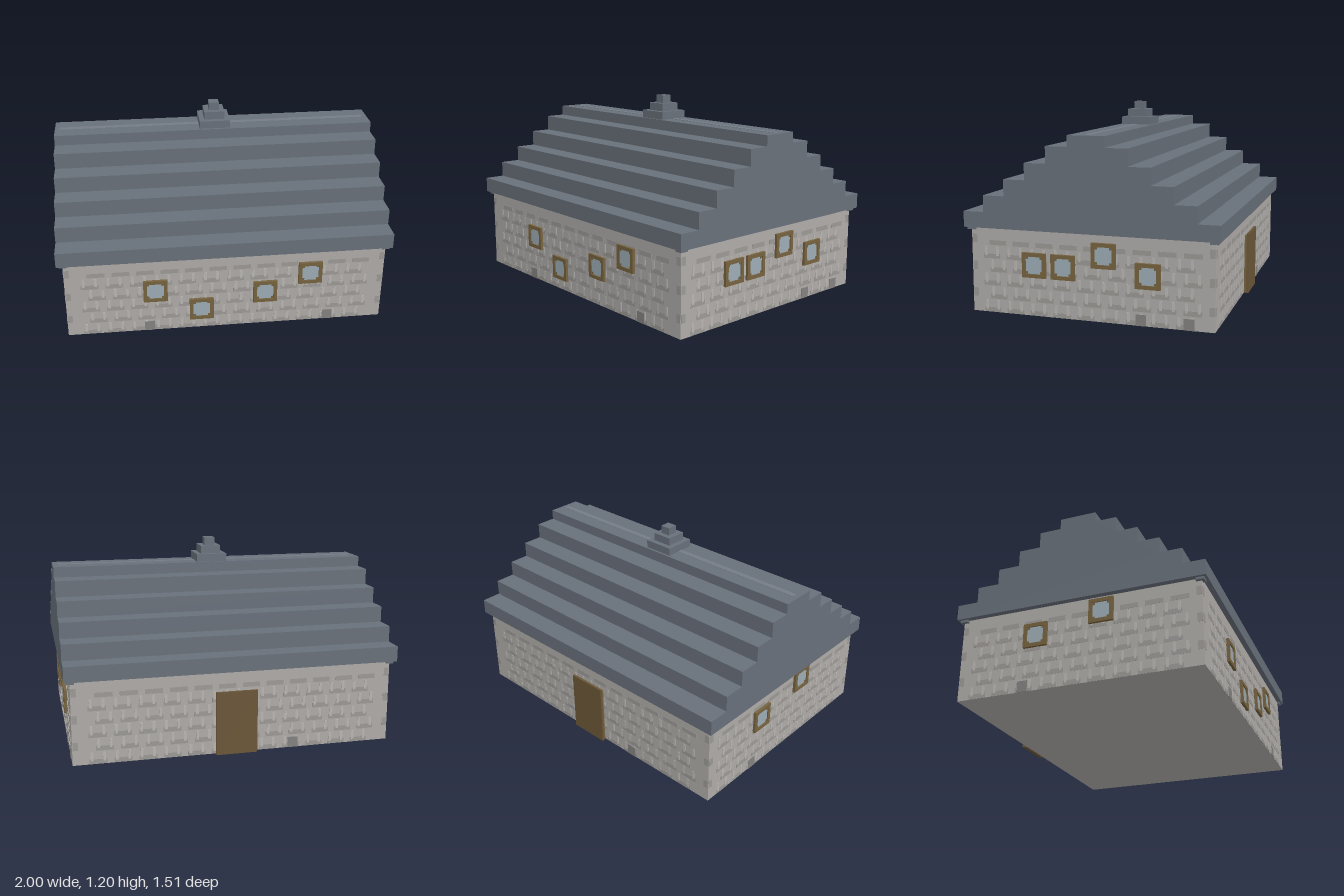
import * as THREE from 'three';
import { mergeGeometries } from 'three/addons/utils/BufferGeometryUtils.js';

const mat = (color) => new THREE.MeshStandardMaterial({ color });
const M = {
  wall: mat(0xaeaba8), darkStone: mat(0x9c9996), lightStone: mat(0xb9b6b3), block: mat(0x848280),
  roof: mat(0x68707a), ridge: mat(0x747c86), wood: mat(0x76633f), door: mat(0x6b5738), glass: mat(0x9dacb5),
};
const HX = 0.965, HZ = 0.725, WALL_H = 0.505;

// Box geometry given by its centre and size
const boxGeo = (x, y, z, w, h, d) => new THREE.BoxGeometry(w, h, d).translate(x, y, z);

function add(parent, name, geometry, material) {
  const mesh = new THREE.Mesh(geometry, material);
  mesh.name = name;
  parent.add(mesh);
  return mesh;
}

// Square window: wooden bars around a pane with small corner blocks
function makeWindow(u, y) {
  const g = new THREE.Group();
  g.name = 'window';
  const S = 0.145, B = 0.022, D = 0.017, inner = S - 2 * B;
  const bars = [];
  for (const s of [-1, 1]) {
    bars.push(boxGeo(0, s * (S - B) / 2, D / 2, S, B, D));
    bars.push(boxGeo(s * (S - B) / 2, 0, D / 2, B, inner, D));
    for (const t of [-1, 1]) {
      bars.push(boxGeo(s * (inner / 2 - 0.007), t * (inner / 2 - 0.007), 0.006, 0.014, 0.014, 0.012));
    }
  }
  add(g, 'windowFrame', mergeGeometries(bars), M.wood);
  add(g, 'windowPane', boxGeo(0, 0, 0.005, inner, inner, 0.01), M.glass);
  g.position.set(u, y, 0);
  return g;
}

// One wall face: stone courses, foundation blocks and windows, u runs to the viewer's right
function makeFacade(name, half, distance, turn, windows, blocks) {
  const g = new THREE.Group();
  g.name = name;
  const dark = [], light = [];
  const pitch = 0.145, count = Math.floor((2 * half - 0.1) / pitch);
  for (let row = 0; row < 6; row++) {
    const y = 0.015 + row * 0.08;
    const shift = (row % 2) * 0.04 - 0.02;
    for (let i = 0; i < count; i++) {
      const u = (i - (count - 1) / 2) * pitch + shift;
      dark.push(boxGeo(u, y, 0, 0.105, 0.028, 0.003));
      if (row < 5) {
        for (const s of [-1, 1]) light.push(boxGeo(u + s * 0.036, y + 0.03, 0, 0.016, 0.055, 0.004));
      }
    }
    // Corner stones on alternate courses
    if (row % 2) for (const s of [-1, 1]) dark.push(boxGeo(s * (half - 0.018), y + 0.02, 0, 0.03, 0.05, 0.003));
  }
  add(g, 'darkCourses', mergeGeometries(dark), M.darkStone);
  add(g, 'lightJoints', mergeGeometries(light), M.lightStone);
  for (const u of blocks) add(g, 'foundationBlock', boxGeo(u, 0.0325, 0, 0.062, 0.065, 0.006), M.block);
  for (const [u, y] of windows) g.add(makeWindow(u, y));
  g.rotation.y = turn;
  g.position.set(Math.sin(turn) * distance, 0, Math.cos(turn) * distance);
  return g;
}

export function createModel() {
  const house = new THREE.Group();
  house.name = 'house';

  add(house, 'walls', boxGeo(0, WALL_H / 2, 0, HX * 2, WALL_H, HZ * 2), M.wall);

  // Four faces: front, left (+x), back, right (-x)
  house.add(makeFacade('frontFace', HX, HZ, 0,
    [[-0.43, 0.287], [-0.153, 0.14], [0.235, 0.236], [0.509, 0.351]], [-0.47, 0.63]));
  house.add(makeFacade('leftFace', HZ, HX, Math.PI / 2,
    [[-0.331, 0.3], [-0.154, 0.3], [0.089, 0.383], [0.347, 0.286]], [0.305, 0.58]));
  house.add(makeFacade('backFace', HX, HZ, Math.PI, [], [0.355]));
  house.add(makeFacade('rightFace', HZ, HX, -Math.PI / 2,
    [[-0.25, 0.333], [0.147, 0.417]], [-0.32]));

  // Back door
  add(house, 'doorBacking', boxGeo(0, 0.185, -0.732, 0.235, 0.37, 0.016), M.wood);
  add(house, 'door', boxGeo(0, 0.193, -0.747, 0.25, 0.386, 0.015), M.door);

  // Brackets under the eaves at each corner
  for (const sx of [-1, 1]) {
    for (const sz of [-1, 1]) {
      add(house, 'eaveBracket', boxGeo(sx * 0.962, 0.4975, sz * 0.718, 0.045, 0.015, 0.048), M.roof);
    }
  }

  // Stepped roof: half widths and top heights, mirrored and extruded along x
  const steps = [[0.757, 0.598], [0.63, 0.695], [0.5, 0.792], [0.37, 0.89], [0.24, 0.988], [0.11, 1.052]];
  const half = [];
  let base = WALL_H;
  for (const [w, top] of steps) {
    half.push([w, base], [w, top]);
    base = top;
  }
  const outline = [...half, ...half.slice().reverse().map(([w, y]) => [-w, y])];
  const roofShape = new THREE.Shape(outline.map(([w, y]) => new THREE.Vector2(w, y)));
  const roofGeo = new THREE.ExtrudeGeometry(roofShape, { depth: 2, bevelEnabled: false });
  roofGeo.translate(0, 0, -1).rotateY(Math.PI / 2);
  add(house, 'steppedRoof', roofGeo, M.roof);
  add(house, 'ridgeStrip', boxGeo(0, 1.052, 0, 1.94, 0.004, 0.035), M.ridge);

  // Stepped finial on the ridge
  [0.096, 0.064, 0.032].forEach((r, i) => {
    add(house, 'finialStep', boxGeo(0, 1.075 + i * 0.049, 0, r * 2, 0.05, r * 2), M.roof);
  });

  return house;
}
